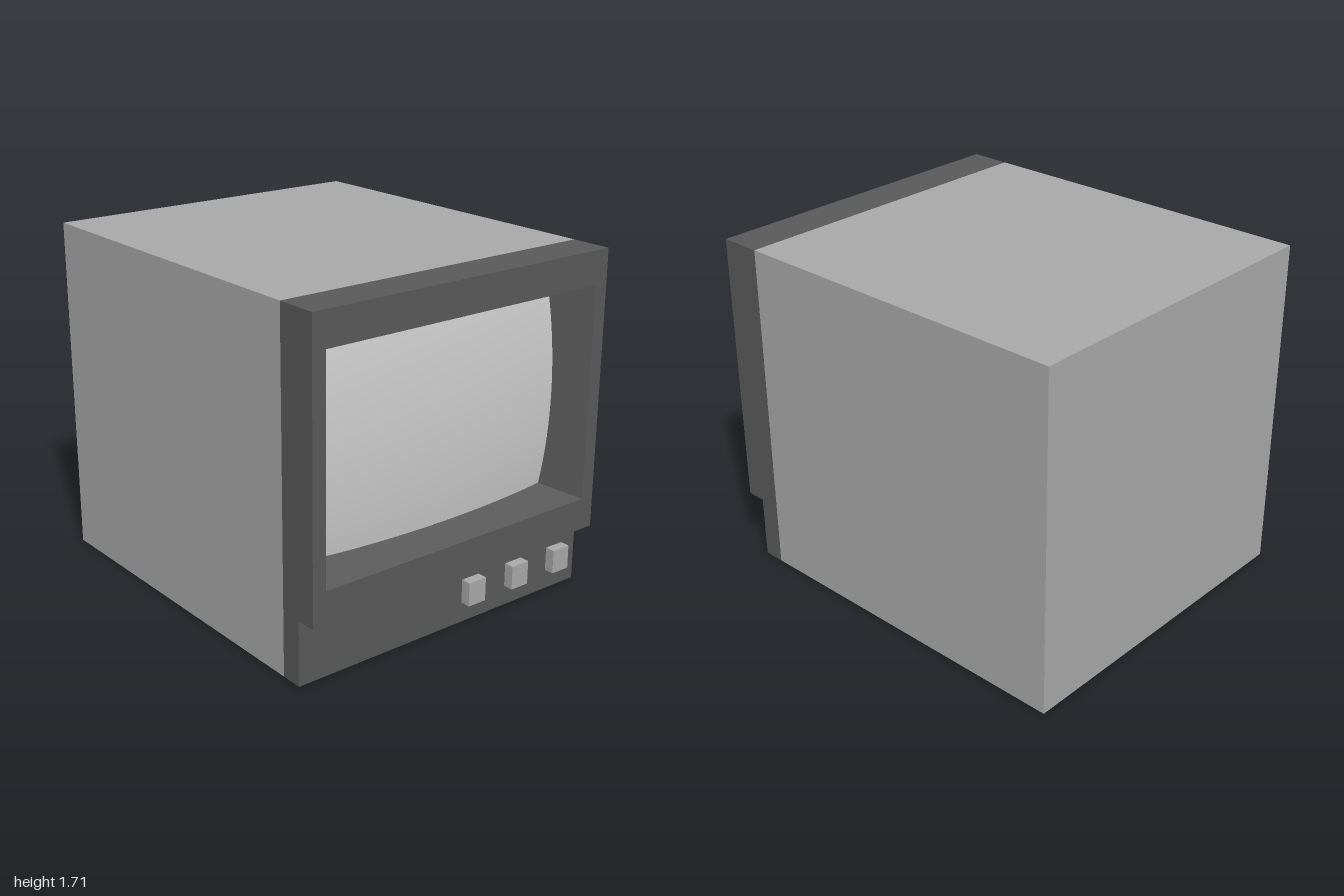
import * as THREE from 'three';

const W = 1.71, H = 1.71;                 // cabinet width and height
const BACK = -1, SEAM = 0.79, FRONT = 1;  // z of rear, body/bezel seam, bezel face
const STEP_Y = 0.32, PANEL_Z = 0.9;       // recessed control panel
const HOLE = { hw: 0.785, hh: 0.5325, cy: 1.0125 };
const TAPER = { x: 0.5, y: 0.225 };       // inward slope of the recess walls

const grey = (color) => new THREE.MeshStandardMaterial({ color });
const bodyMat = grey(0xa8a8a8), bezelMat = grey(0x595959), screenMat = grey(0xcccccc);

// Box given by its limits on each axis
function box(name, [x0, x1], [y0, y1], [z0, z1], material) {
  const mesh = new THREE.Mesh(new THREE.BoxGeometry(x1 - x0, y1 - y0, z1 - z0), material);
  mesh.position.set((x0 + x1) / 2, (y0 + y1) / 2, (z0 + z1) / 2);
  mesh.name = name;
  return mesh;
}

function rectangle(PathType, x, y0, y1) {
  const path = new PathType();
  path.moveTo(-x, y0).lineTo(x, y0).lineTo(x, y1).lineTo(-x, y1).closePath();
  return path;
}

// Frame with a rectangular opening that narrows towards the back
function makeBezel() {
  const depth = FRONT - SEAM;
  const shape = rectangle(THREE.Shape, W / 2, STEP_Y - HOLE.cy, H - HOLE.cy);
  shape.holes.push(rectangle(THREE.Path, HOLE.hw, -HOLE.hh, HOLE.hh));
  const geo = new THREE.ExtrudeGeometry(shape, { depth, bevelEnabled: false });
  const p = geo.attributes.position;
  for (let i = 0; i < p.count; i++) {
    const x = p.getX(i), y = p.getY(i);
    if (p.getZ(i) > depth / 2 || Math.abs(x) > HOLE.hw + 0.01) continue;
    p.setX(i, x - Math.sign(x) * TAPER.x * depth);
    p.setY(i, y - Math.sign(y) * TAPER.y * depth);
  }
  geo.computeVertexNormals();
  const mesh = new THREE.Mesh(geo, bezelMat);
  mesh.position.set(0, HOLE.cy, SEAM);
  mesh.name = 'bezel';
  return mesh;
}

// Bulging glass whose rim follows the sloped recess walls
function makeScreen() {
  const geo = new THREE.PlaneGeometry(2, 2, 32, 24);
  const p = geo.attributes.position;
  for (let i = 0; i < p.count; i++) {
    const u = p.getX(i), v = p.getY(i);
    const d = 0.2 - 0.037 * (1 - u * u) - 0.037 * (1 - v * v);
    p.setXYZ(i, u * (HOLE.hw - TAPER.x * d), v * (HOLE.hh - TAPER.y * d), -d);
  }
  geo.computeVertexNormals();
  const mesh = new THREE.Mesh(geo, screenMat);
  mesh.position.set(0, HOLE.cy, FRONT);
  mesh.name = 'screen';
  return mesh;
}

export function createModel() {
  const model = new THREE.Group();
  model.name = 'monitor';
  const width = [-W / 2, W / 2];

  model.add(box('body', width, [0, H], [BACK, SEAM], bodyMat));
  model.add(makeBezel(), makeScreen());
  model.add(box('controlPanel', width, [0, STEP_Y], [SEAM, PANEL_Z], bezelMat));

  // Row of square buttons
  [0.1, 0.38, 0.66].forEach((x, i) => {
    model.add(box(`button${i + 1}`, [x, x + 0.105], [0.1, 0.22], [PANEL_Z, 0.95], bodyMat));
  });
  return model;
}
